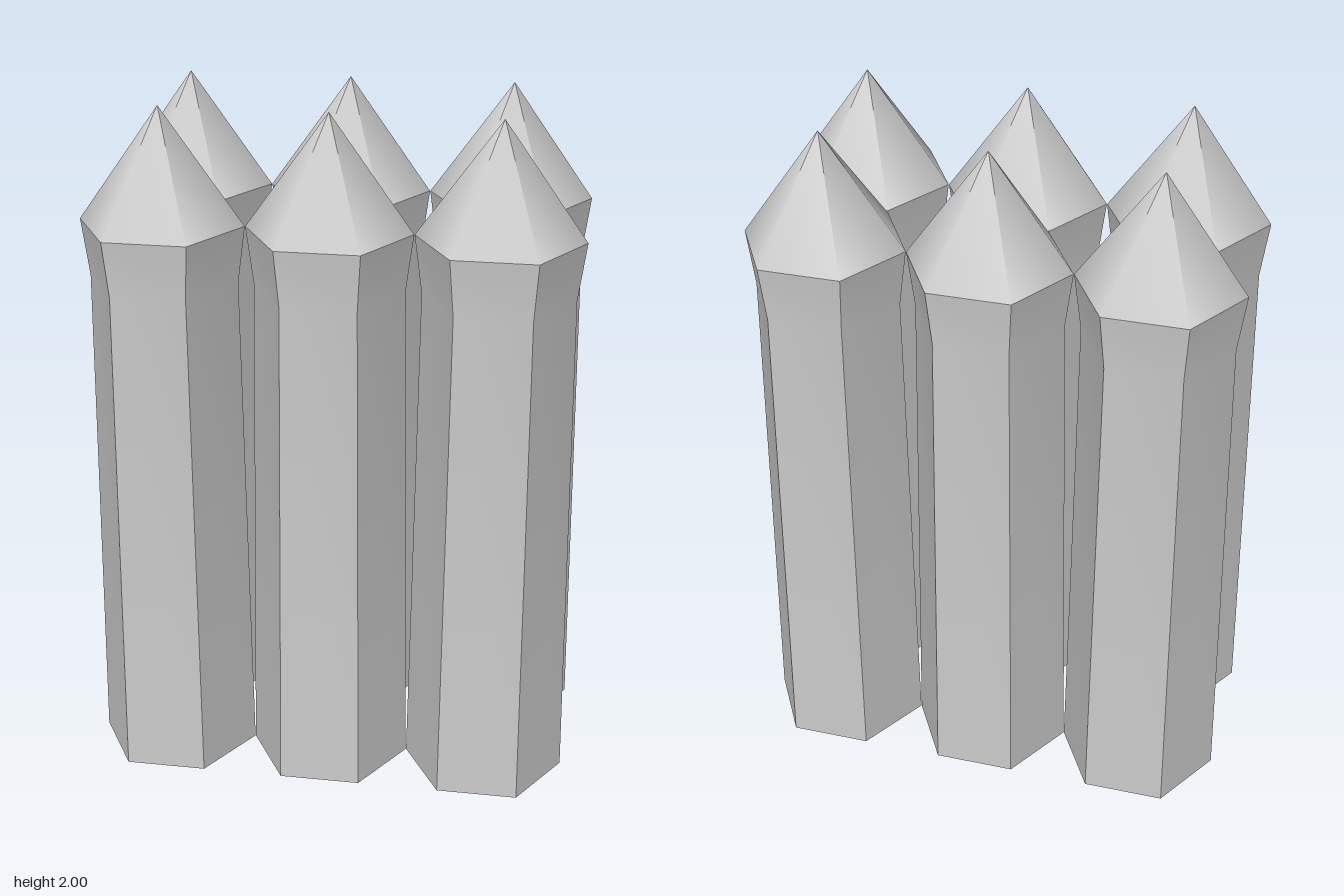
import * as THREE from 'three';
import { toCreasedNormals } from 'three/addons/utils/BufferGeometryUtils.js';

const SIDES = 6;
const RADIUS = 0.237;
const NECK_RADIUS = 0.215;
const NECK_Y = 1.5;
const RIM_Y = 1.667;
const HEIGHT = 2;

export function createModel() {
  const group = new THREE.Group();
  group.name = 'stakeCluster';
  const material = new THREE.MeshStandardMaterial({ color: 0xcccccc });

  // Hexagonal shaft: closed base, slight taper to the neck, flared rim
  const profile = [
    [0, 0], [RADIUS, 0], [NECK_RADIUS, NECK_Y], [RADIUS, RIM_Y],
  ].map(([r, y]) => new THREE.Vector2(r, y));
  const shaftGeometry = toCreasedNormals(
    new THREE.LatheGeometry(profile, SIDES, Math.PI / 6), Math.PI / 6);

  // Smooth-shaded six-sided point
  const tipHeight = HEIGHT - RIM_Y;
  const tipGeometry = new THREE.ConeGeometry(RADIUS, tipHeight, SIDES, 1, true, Math.PI / 6);
  tipGeometry.translate(0, RIM_Y + tipHeight / 2, 0);

  // Two rows of three, the rows shifted slightly sideways from each other
  for (const row of [-1, 1]) {
    for (const column of [-1, 0, 1]) {
      const stake = new THREE.Group();
      stake.name = 'stake';
      const shaft = new THREE.Mesh(shaftGeometry, material);
      shaft.name = 'shaft';
      const tip = new THREE.Mesh(tipGeometry, material);
      tip.name = 'tip';
      stake.add(shaft, tip);
      stake.position.set(column * 0.475 + row * 0.003, 0, row * 0.213);
      group.add(stake);
    }
  }
  return group;
}
